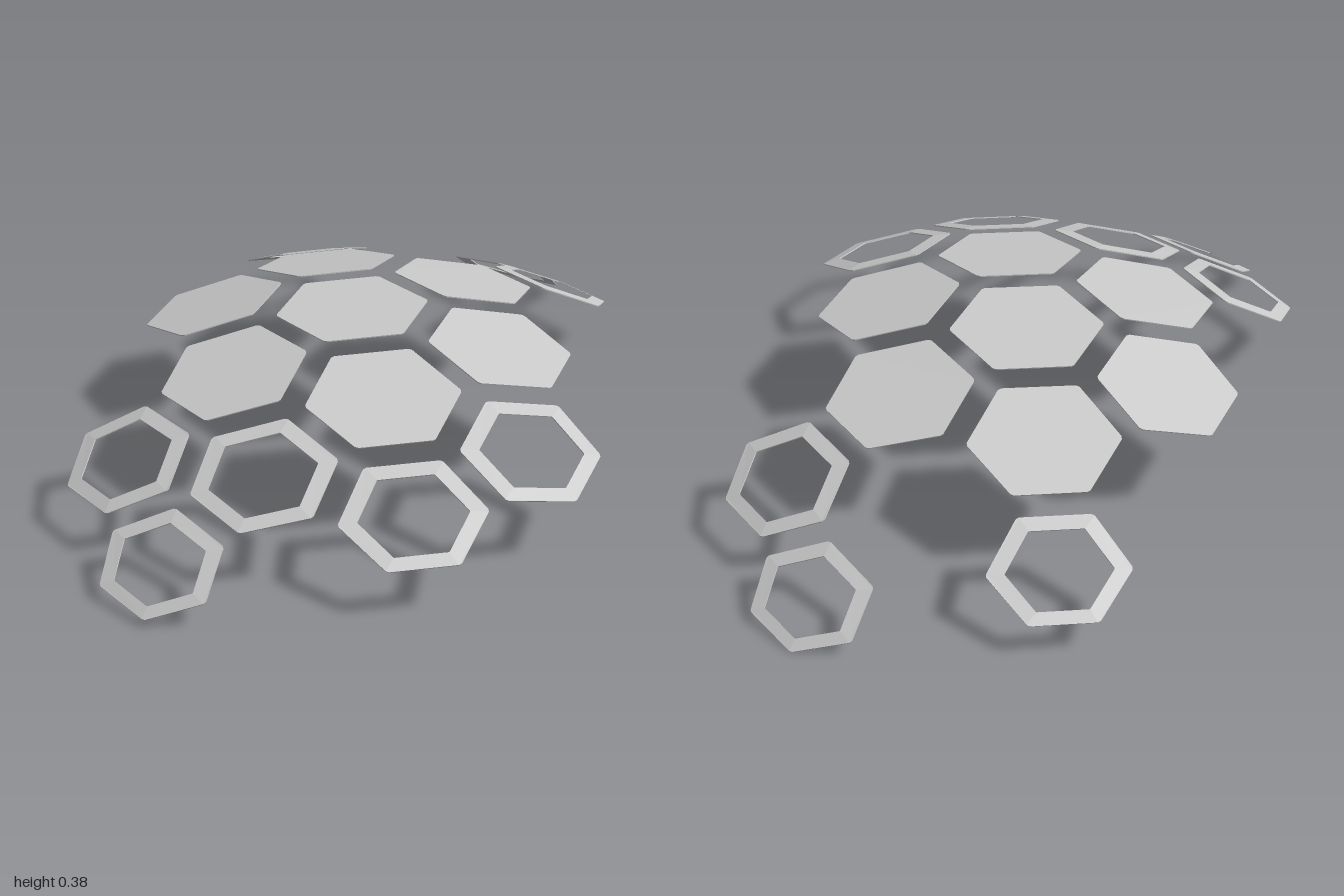
import * as THREE from 'three';

const PITCH_X = 0.4285, PITCH_Z = 0.384; // spacing of the flat honeycomb
const GRID_Z = -0.037;                   // z of the middle tile
const DOME_R = 1.73, DOME_Z = 0.03, DOME_RISE = 1.035;
const THICK = 0.003;

// [column, row] of each tile on the honeycomb
const solidTiles = [[0, 0], [1, 0], [-1, 0], [0.5, 1], [-0.5, 1], [0.5, -1], [-0.5, -1]];
const openTiles = [[2, 0], [2.5, -1], [1, -2], [-2, 0], [-2.5, 1], [-1.5, 1], [-1, 2], [0, 2]];

// hexagon corners, counter-clockwise, each slightly clipped
function hexPoints(radius, cx, cy, clip) {
  const corner = i => new THREE.Vector2(
    cx - radius * Math.sin(i * Math.PI / 3), cy + radius * Math.cos(i * Math.PI / 3));
  const points = [];
  for (let i = 0; i < 6; i++) {
    points.push(corner(i).lerp(corner(i - 1), clip), corner(i).lerp(corner(i + 1), clip));
  }
  return points;
}

// lay flat points on the dome by projecting them towards its centre
function wrapOnDome(geometry) {
  const pos = geometry.attributes.position;
  const v = new THREE.Vector3();
  for (let i = 0; i < pos.count; i++) {
    const height = pos.getZ(i);
    v.set(pos.getX(i), DOME_R, -pos.getY(i) - DOME_Z).setLength(DOME_R - THICK + height);
    pos.setXYZ(i, v.x, (v.y - DOME_R) * DOME_RISE, v.z + DOME_Z);
  }
  geometry.computeVertexNormals();
  return geometry;
}

function hexTile([col, row], open) {
  const cx = col * PITCH_X, cy = -(GRID_Z + row * PITCH_Z);
  const shape = new THREE.Shape(hexPoints(0.212, cx, cy, 0.03));
  if (open) shape.holes.push(new THREE.Path(hexPoints(0.157, cx, cy, 0.01)));
  return wrapOnDome(new THREE.ExtrudeGeometry(shape, { depth: THICK, bevelEnabled: false }));
}

export function createModel() {
  const model = new THREE.Group();
  model.name = 'hexagonDome';
  const material = new THREE.MeshStandardMaterial({
    color: 0xcccccc, flatShading: true, side: THREE.DoubleSide });

  const addTiles = (tiles, open, name) => {
    const group = new THREE.Group();
    group.name = name + 's';
    tiles.forEach((tile, i) => {
      const mesh = new THREE.Mesh(hexTile(tile, open), material);
      mesh.name = name + (i + 1);
      group.add(mesh);
    });
    model.add(group);
  };
  addTiles(solidTiles, false, 'solidPanel');
  addTiles(openTiles, true, 'openFrame');

  // stand the dome on the ground
  const lowest = new THREE.Box3().setFromObject(model).min.y;
  model.children.forEach(group => { group.position.y = -lowest; });
  return model;
}
